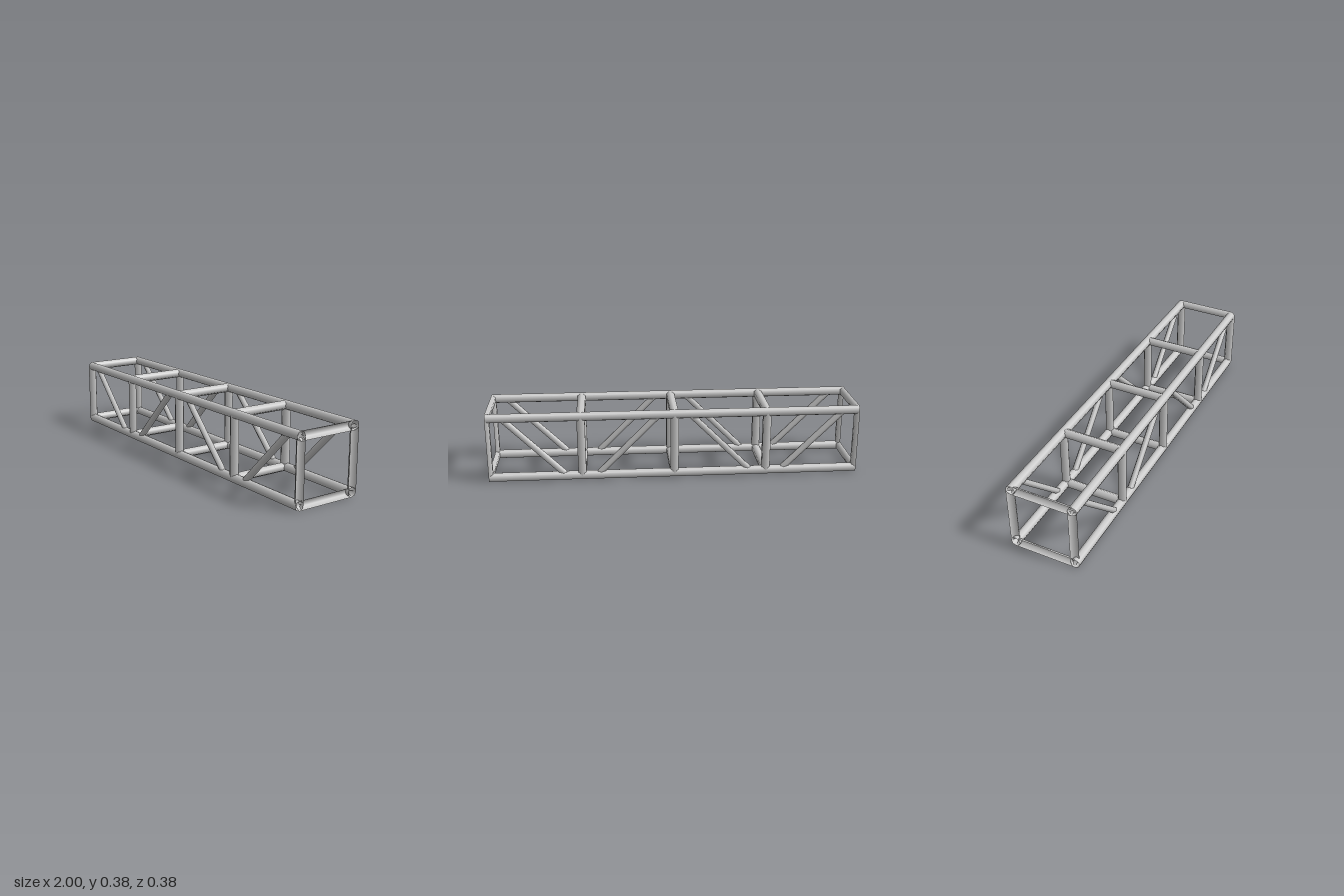
import * as THREE from 'three';

const R = 0.025;                 // main tube radius
const LOW = 0.025, HIGH = 0.36;  // chord centre heights
const Z = 0.1675;                // chord centre offset
const MID = (LOW + HIGH) / 2;
const LEN = HIGH - LOW;

export function createModel() {
  const group = new THREE.Group();
  const mat = new THREE.MeshStandardMaterial({ color: 0xcccccc, side: THREE.DoubleSide });

  const add = (name, geometry, x, y, z) => {
    const mesh = new THREE.Mesh(geometry, mat);
    mesh.name = name;
    mesh.position.set(x, y, z);
    group.add(mesh);
    return mesh;
  };

  // Four long chords, open at the ends
  const chord = new THREE.CylinderGeometry(R, R, 2, 8, 1, true).rotateZ(Math.PI / 2);
  for (const y of [LOW, HIGH])
    for (const z of [-Z, Z]) add('chord', chord, 0, y, z);

  // Square frames: full tubes inside, open half tubes at both ends
  for (const x of [-1, -0.5, 0, 0.5, 1]) {
    const end = Math.abs(x) === 1;
    const post = end
      ? new THREE.CylinderGeometry(R, R, LEN, 3, 1, true, x > 0 ? Math.PI : 0, Math.PI)
      : new THREE.CylinderGeometry(R, R, LEN, 6);
    const bar = post.clone().rotateX(Math.PI / 2);
    for (const z of [-Z, Z]) add(end ? 'endPost' : 'post', post, x, MID, z);
    for (const y of [LOW, HIGH]) add(end ? 'endCrossbar' : 'crossbar', bar, x, y, 0);
  }

  // Thin 45 degree braces, alternating direction bay by bay
  const brace = new THREE.CylinderGeometry(0.0175, 0.0175, LEN * Math.SQRT2, 6);
  for (let i = 0; i < 4; i++)
    for (const z of [-Z, Z]) {
      const mesh = add('diagonalBrace', brace, -0.75 + i * 0.5, MID, z);
      mesh.rotation.z = (i % 2 ? -1 : 1) * Math.PI / 4;
    }

  return group;
}
